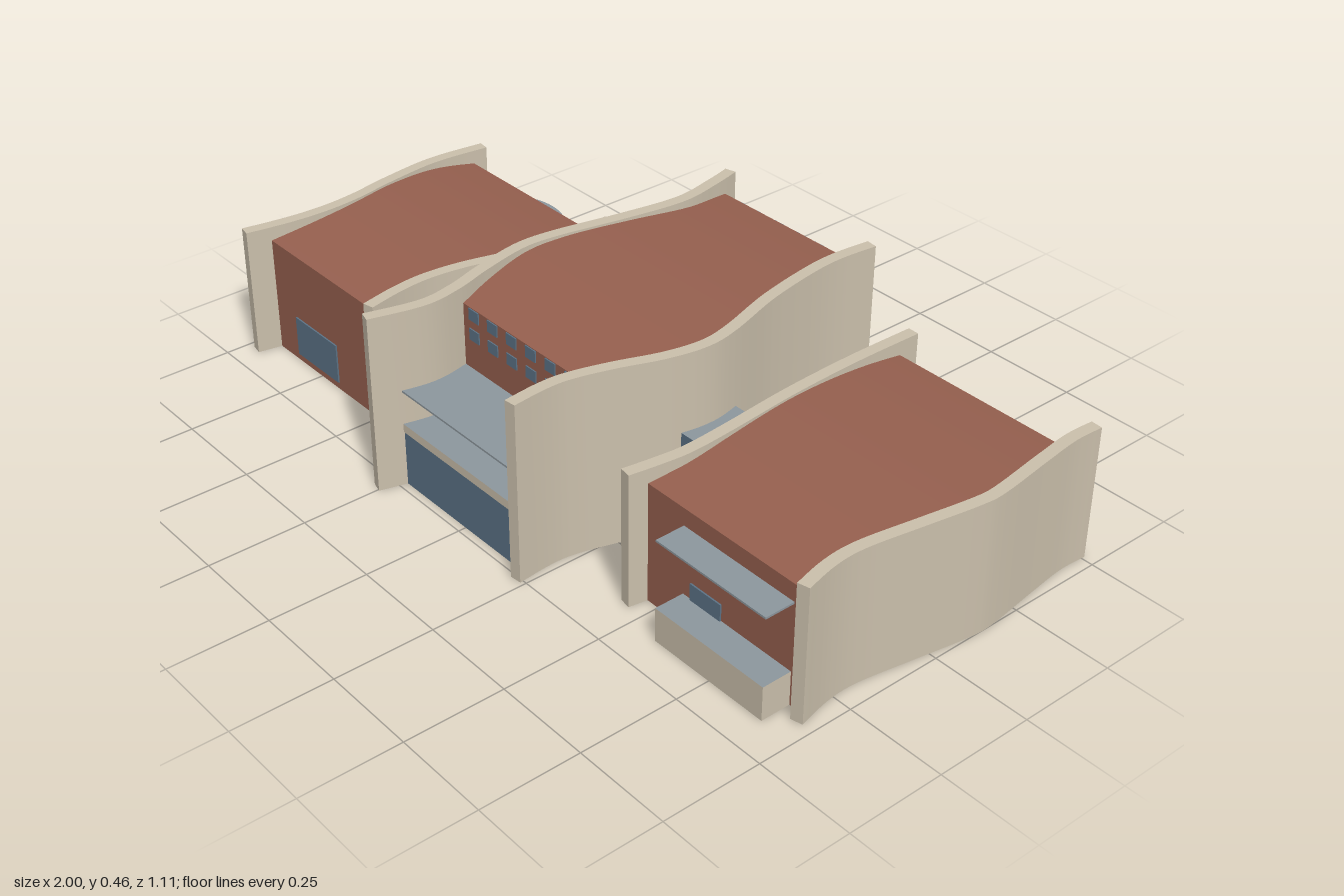
import * as THREE from 'three';
import { toCreasedNormals } from 'three/addons/utils/BufferGeometryUtils.js';

const mat = (name, color) => {
  const m = new THREE.MeshStandardMaterial({ color, side: THREE.DoubleSide });
  m.name = name;
  return m;
};

export function createModel() {
  const brick = mat('brick', 0x96604f);
  const cream = mat('cream', 0xcbc0ac);
  const glass = mat('blue glass', 0x5c7386);
  const grey = mat('grey roofing', 0x8d979e);

  const root = new THREE.Group();
  root.name = 'wavyWalledBuilding';

  const add = (parent, name, geo, material, x = 0, y = 0, z = 0) => {
    const m = new THREE.Mesh(geo, material);
    m.name = name;
    m.position.set(x, y, z);
    parent.add(m);
    return m;
  };

  // box given by its limits
  const box = (parent, name, material, x0, x1, y0, y1, z0, z1) =>
    add(parent, name, new THREE.BoxGeometry(x1 - x0, y1 - y0, z1 - z0), material,
      (x0 + x1) / 2, (y0 + y1) / 2, (z0 + z1) / 2);

  // box without a floor, with its own roof material
  const hollowBox = (parent, name, side, top, x0, x1, y0, y1, z0, z1) => {
    const m = box(parent, name, [side, top], x0, x1, y0, y1, z0, z1);
    const g = m.geometry;
    const idx = Array.from(g.index.array);
    g.setIndex([...idx.slice(0, 18), ...idx.slice(24)]);
    g.clearGroups();
    g.addGroup(0, 12, 0);
    g.addGroup(12, 6, 1);
    g.addGroup(18, 12, 0);
  };

  // plan curve of a side wall from [x, z] points
  const planCurve = (pts) =>
    new THREE.SplineCurve(pts.map(([x, z]) => new THREE.Vector2(x, z))).getPoints(48);

  const xAt = (line, z) => {
    let i = 1;
    while (i < line.length - 1 && line[i].y < z) i++;
    const a = line[i - 1], b = line[i];
    return a.x + (b.x - a.x) * (z - a.y) / (b.y - a.y);
  };

  // upright wall of constant thickness along a plan curve
  const wavyWall = (line, height) => {
    const left = [], right = [];
    line.forEach((p, i) => {
      const a = line[Math.max(i - 1, 0)], b = line[Math.min(i + 1, line.length - 1)];
      const t = b.clone().sub(a).normalize().multiplyScalar(0.015);
      left.push(new THREE.Vector2(p.x - t.y, -(p.y + t.x)));
      right.push(new THREE.Vector2(p.x + t.y, -(p.y - t.x)));
    });
    const shape = new THREE.Shape([...left, ...right.reverse()]);
    const g = new THREE.ExtrudeGeometry(shape, { depth: height, bevelEnabled: false });
    g.rotateX(-Math.PI / 2);
    return toCreasedNormals(g, 0.6);
  };

  // arched sheet stretched between two wall curves
  const archedSheet = (l, r, z0, z1, edge, peak) => {
    const g = new THREE.PlaneGeometry(1, 1, 1, 32);
    const p = g.attributes.position;
    for (let i = 0; i < p.count; i++) {
      const t = 0.5 - p.getY(i);
      const z = z0 + (z1 - z0) * t;
      const y = edge + (peak - edge) * (1 - (2 * t - 1) ** 2);
      p.setXYZ(i, xAt(p.getX(i) < 0 ? l : r, z), y, z);
    }
    g.computeVertexNormals();
    return g;
  };

  const wings = [
    { name: 'rightWing', h: 0.345, edge: 0.308, z0: -0.265, z1: 0.375,
      l: [[-0.967, -0.305], [-0.983, -0.15], [-0.967, 0], [-0.945, 0.12], [-0.938, 0.22], [-0.945, 0.32], [-0.965, 0.435]],
      r: [[-0.435, -0.3], [-0.431, -0.12], [-0.45, 0], [-0.48, 0.12], [-0.492, 0.22], [-0.485, 0.31], [-0.465, 0.405]] },
    { name: 'centralHall', h: 0.462, edge: 0.42, z0: -0.515, z1: 0.3,
      l: [[-0.268, -0.555], [-0.25, -0.48], [-0.232, -0.36], [-0.255, -0.2], [-0.29, -0.03], [-0.298, 0.08], [-0.27, 0.21],
        [-0.24, 0.31], [-0.228, 0.41], [-0.26, 0.545]],
      r: [[0.225, -0.555], [0.215, -0.45], [0.222, -0.35], [0.25, -0.2], [0.295, -0.05], [0.308, 0.04], [0.29, 0.14],
        [0.25, 0.25], [0.222, 0.35], [0.217, 0.42], [0.225, 0.51]] },
    { name: 'leftWing', h: 0.345, edge: 0.308, z0: -0.435, z1: 0.335,
      l: [[0.433, -0.49], [0.43, -0.3], [0.437, -0.1], [0.455, 0.1], [0.462, 0.22], [0.455, 0.3], [0.443, 0.38]],
      r: [[0.955, -0.51], [0.952, -0.43], [0.965, -0.32], [0.985, -0.17], [0.982, -0.1], [0.96, 0.03], [0.935, 0.18],
        [0.937, 0.27], [0.957, 0.36]] },
  ];

  const groups = {};
  for (const w of wings) {
    const g = new THREE.Group();
    g.name = w.name;
    groups[w.name] = g;
    root.add(g);
    const l = planCurve(w.l), r = planCurve(w.r);
    add(g, 'wavySideWall', wavyWall(l, w.h), cream);
    add(g, 'wavySideWall', wavyWall(r, w.h), cream);
    add(g, 'archedRoof', archedSheet(l, r, w.z0, w.z1, w.edge, w.h - 0.006), brick);
    add(g, 'ceiling', archedSheet(l, r, w.z0, w.z1, w.edge - 0.008, w.h - 0.014), grey);
    for (const [name, z] of [['backWall', w.z0], ['frontWall', w.z1]]) {
      const x0 = xAt(l, z), x1 = xAt(r, z);
      add(g, name, new THREE.PlaneGeometry(x1 - x0, w.edge), brick, (x0 + x1) / 2, w.edge / 2, z);
    }
  }

  // central hall: entrance block, canopy, glazing
  const hall = groups.centralHall;
  hollowBox(hall, 'entranceBlock', glass, glass, -0.23, 0.21, 0, 0.145, 0.3, 0.48);
  hollowBox(hall, 'entranceRoofBand', cream, grey, -0.23, 0.21, 0.145, 0.167, 0.3, 0.482);
  box(hall, 'entranceCanopy', grey, -0.235, 0.212, 0.252, 0.257, 0.3, 0.48);
  box(hall, 'wideWindow', glass, -0.19, 0.155, 0.167, 0.252, 0.299, 0.304);
  for (const z of [-0.515, 0.3])
    for (let row = 0; row < 2; row++)
      for (let i = 0; i < 6; i++)
        add(hall, 'smallWindow', new THREE.BoxGeometry(0.036, 0.03, 0.006), glass,
          -0.186 + i * 0.07, 0.35 + row * 0.053, z);

  // left wing: porch, canopy, window
  const lw = groups.leftWing;
  hollowBox(lw, 'porch', cream, grey, 0.58, 0.91, 0, 0.087, 0.335, 0.412);
  box(lw, 'porchCanopy', grey, 0.58, 0.91, 0.259, 0.264, 0.335, 0.412);
  box(lw, 'frontWindow', glass, 0.605, 0.7, 0.087, 0.13, 0.334, 0.339);

  // right wing: window and curved bay at the back
  const rw = groups.rightWing;
  box(rw, 'frontWindow', glass, -0.85, -0.67, 0.02, 0.127, 0.374, 0.379);
  const R = 0.167, half = Math.asin(0.128 / R), bayZ = -0.158;
  add(rw, 'bayWall', new THREE.CylinderGeometry(R, R, 0.2, 24, 1, true, Math.PI - half, 2 * half),
    cream, -0.7, 0.1, bayZ);
  const lens = new THREE.Shape();
  lens.absarc(0, 0, R, Math.PI / 2 - half, Math.PI / 2 + half, false);
  const lensGeo = new THREE.ExtrudeGeometry(lens, { depth: 0.005, bevelEnabled: false, curveSegments: 24 });
  lensGeo.rotateX(-Math.PI / 2);
  add(rw, 'bayRoof', lensGeo, grey, -0.7, 0.198, bayZ);
  add(rw, 'bayCanopy', lensGeo, grey, -0.7, 0.26, bayZ);

  // glazed links between the wings
  hollowBox(root, 'rightLink', glass, grey, -0.48, -0.265, 0, 0.26, 0.1, 0.295);
  hollowBox(root, 'leftLink', glass, grey, 0.3, 0.45, 0, 0.26, -0.055, 0.11);

  return root;
}
